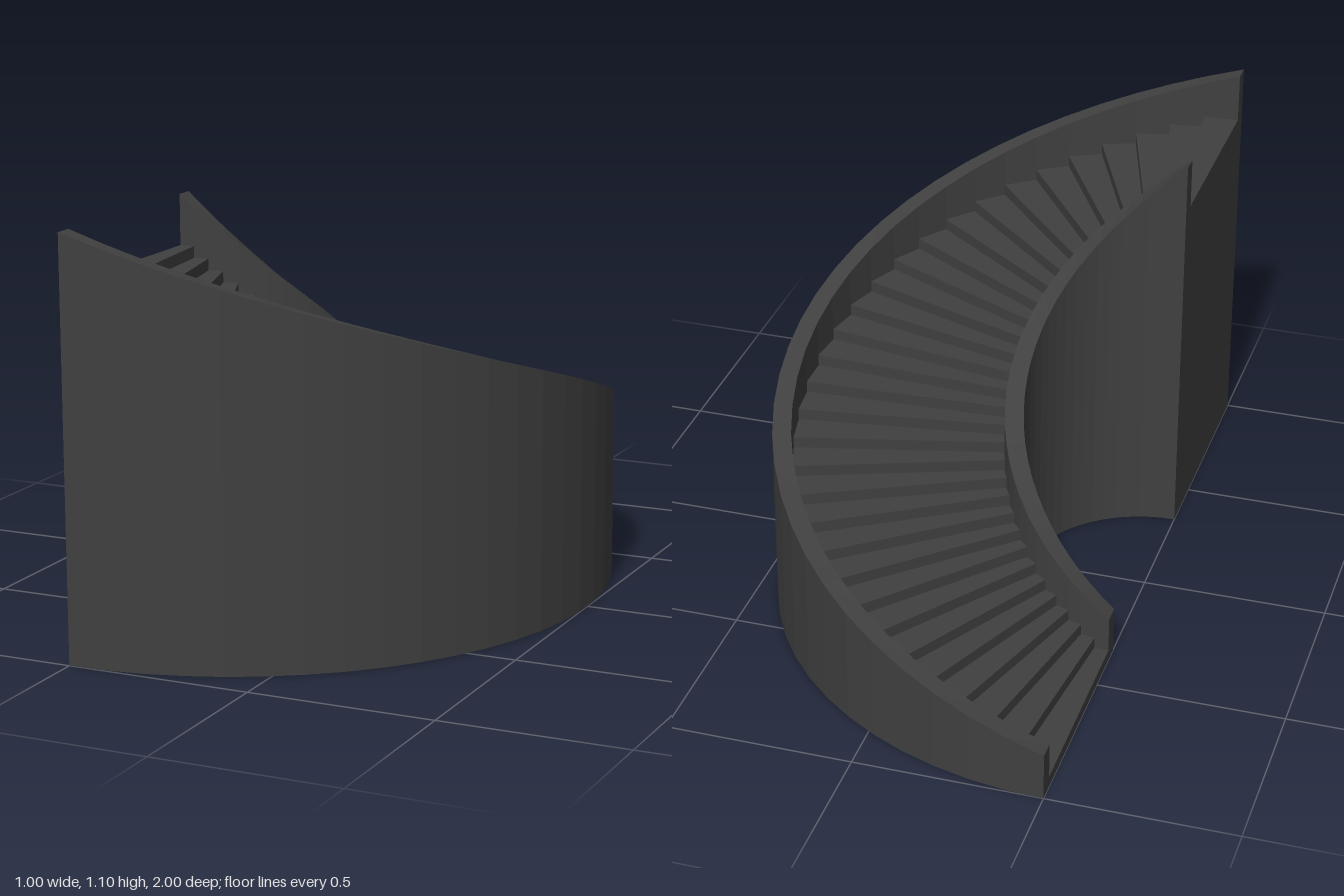
import * as THREE from 'three';

const STEPS = 31;            // treads in the half turn
const AXIS_X = -0.5;         // vertical axis of the spiral
const TOP_STEP = 0.965;      // height of the last tread
const RAIL_LOW = 0.13, RAIL_HIGH = 1.1;
const R_IN = 0.335, R_OUT = 1, WALL = 0.05;

// Sweeps a rectangular section (r0..r1 wide, 0..h tall) round the axis through stations {a, h}
function sweep(r0, r1, stations) {
  const pos = [];
  const quad = (a, b, c, d) => [a, b, c, a, c, d].forEach(p => pos.push(p.x, p.y, p.z));
  const rings = stations.map(({ a, h }) =>
    [[r0, 0], [r1, 0], [r1, h], [r0, h]].map(([r, y]) =>
      new THREE.Vector3(AXIS_X + r * Math.sin(a), y, -r * Math.cos(a))));
  for (let i = 0; i + 1 < rings.length; i++) {
    const s = rings[i], e = rings[i + 1];
    const riser = stations[i].a === stations[i + 1].a;
    for (let k = 0; k < 4; k++) {
      if (riser && k !== 2) continue; // a riser only needs its upright face
      const n = (k + 1) % 4;
      quad(s[n], e[n], e[k], s[k]);
    }
  }
  const [A, B, C, D] = rings[0];
  quad(A, D, C, B);
  quad(...rings[rings.length - 1]);
  const geo = new THREE.BufferGeometry();
  geo.setAttribute('position', new THREE.Float32BufferAttribute(pos, 3));
  geo.computeVertexNormals();
  return geo;
}

export function createModel() {
  const group = new THREE.Group();
  group.name = 'curvedStaircase';
  const material = new THREE.MeshStandardMaterial({ color: 0x404040, flatShading: true });
  const add = (name, geo) => {
    const mesh = new THREE.Mesh(geo, material);
    mesh.name = name;
    group.add(mesh);
  };
  const angle = i => (i / STEPS) * Math.PI;

  // Solid flight of steps, rising from the back round to the front
  const treads = [];
  for (let i = 0; i < STEPS; i++) {
    const h = (TOP_STEP * (i + 1)) / STEPS;
    treads.push({ a: angle(i), h }, { a: angle(i + 1), h });
  }
  add('steps', sweep(R_IN + WALL, R_OUT - WALL, treads));

  // Side walls with a steadily sloping top
  const rail = [];
  for (let i = 0; i <= STEPS; i++) {
    rail.push({ a: angle(i), h: THREE.MathUtils.lerp(RAIL_LOW, RAIL_HIGH, i / STEPS) });
  }
  add('innerWall', sweep(R_IN, R_IN + WALL, rail));
  add('outerWall', sweep(R_OUT - WALL, R_OUT, rail));

  return group;
}
